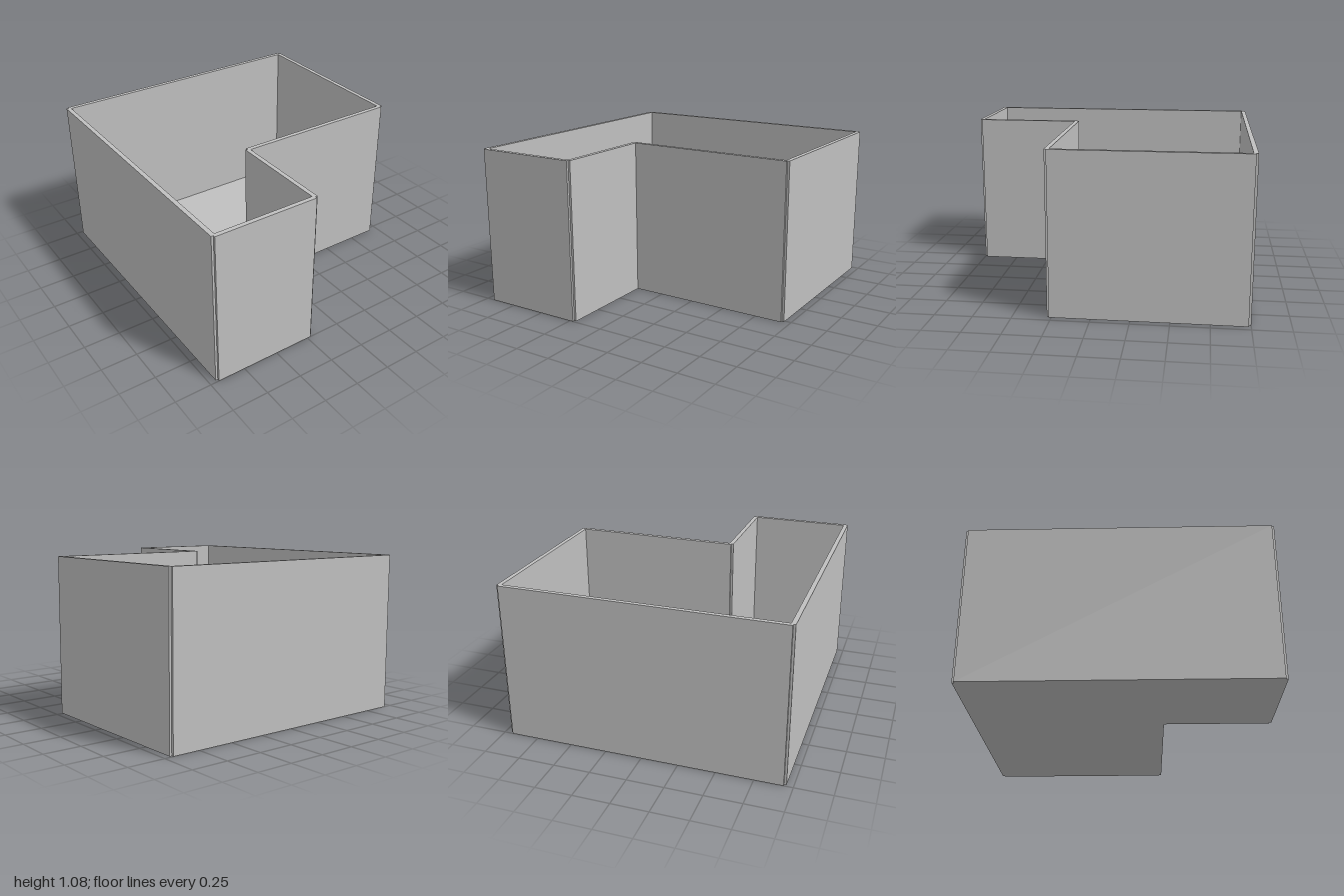
import * as THREE from 'three';

const HEIGHT = 1.08, THICK = 0.03, FLOOR = 0.005;

// Wall centre lines in plan (x, z), an L-shaped room
const PLAN = [[-0.94, -0.985], [0.94, -0.985], [0.94, 0.265], [-0.225, 0.265], [-0.225, 0.985], [-0.94, 0.985]];
const NAMES = ['backWall', 'leftWall', 'innerFrontWall', 'innerLeftWall', 'frontWall', 'rightWall'];

export function createModel() {
  const room = new THREE.Group();
  room.name = 'room';
  const plaster = new THREE.MeshStandardMaterial({ color: 0xbfbfbf });
  plaster.name = 'grey plaster';

  // Walls run from corner point to corner point, leaving small notches at the corners
  PLAN.forEach(([x0, z0], i) => {
    const [x1, z1] = PLAN[(i + 1) % PLAN.length];
    const alongX = z0 === z1;
    const length = Math.hypot(x1 - x0, z1 - z0);
    const wall = new THREE.Mesh(
      new THREE.BoxGeometry(alongX ? length : THICK, HEIGHT, alongX ? THICK : length), plaster);
    wall.position.set((x0 + x1) / 2, HEIGHT / 2, (z0 + z1) / 2);
    wall.name = NAMES[i];
    room.add(wall);
  });

  // Thin floor slab following the same plan
  const outline = new THREE.Shape(PLAN.map(([x, z]) => new THREE.Vector2(x, z)));
  const slab = new THREE.ExtrudeGeometry(outline, { depth: FLOOR, bevelEnabled: false });
  slab.rotateX(Math.PI / 2).translate(0, FLOOR, 0);
  const floor = new THREE.Mesh(slab, plaster);
  floor.name = 'floor';
  room.add(floor);

  return room;
}
